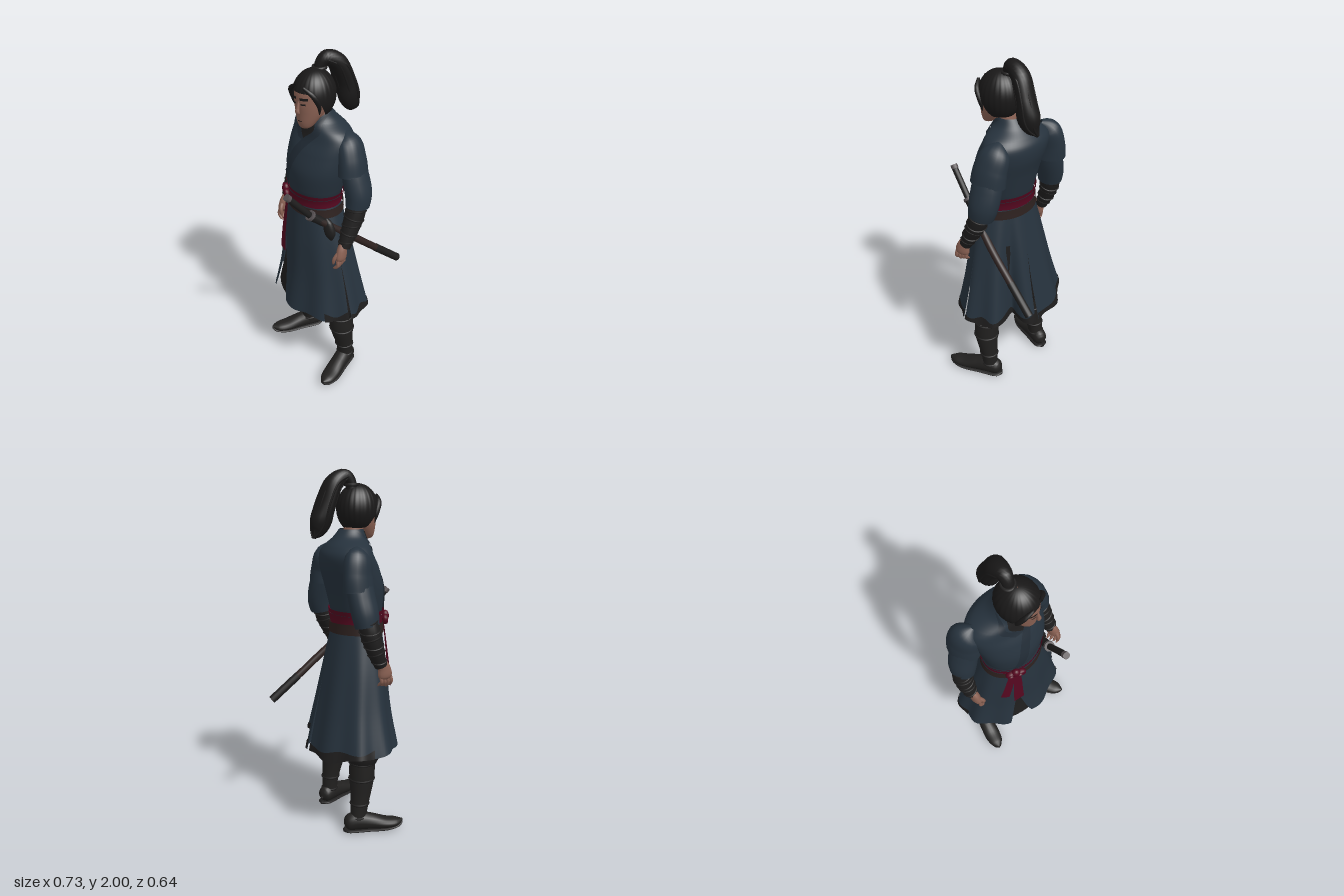
import * as THREE from 'three';
import { ParametricGeometry } from 'three/addons/geometries/ParametricGeometry.js';

const mat = (name, color) => Object.assign(new THREE.MeshStandardMaterial({ color, side: THREE.DoubleSide }), { name });
const M = {
  blue: mat('blue cloth', 0x26323d), trim: mat('dark blue trim', 0x212b35), black: mat('black cloth', 0x1e1d1d),
  leather: mat('boot leather', 0x21201f), hair: mat('hair', 0x191818), red: mat('sash red', 0x54071f),
  skin: mat('skin', 0x8a6153), brown: mat('brown leather', 0x2d211f), steel: mat('dull steel', 0x565052),
};
const YAW = -0.42, C = Math.cos(YAW), S = Math.sin(YAW), TAU = Math.PI * 2;
const { lerp, smoothstep } = THREE.MathUtils;

// Smooth interpolation through rows of equally many numbers
function spline(rows, t) {
  const n = rows.length, k = THREE.MathUtils.clamp(t, 0, 1) * (n - 1), i = Math.min(Math.floor(k), n - 2), f = k - i;
  const [a, b, c, d] = [-1, 0, 1, 2].map(o => rows[Math.min(Math.max(i + o, 0), n - 1)]);
  return b.map((q, j) => q + 0.5 * f * (c[j] - a[j] + f * (2 * a[j] - 5 * q + 4 * c[j] - d[j] + f * (3 * (q - c[j]) + d[j] - a[j]))));
}
function add(parent, name, geometry, material) {
  const m = new THREE.Mesh(geometry, material);
  m.name = name;
  parent.add(m);
  return m;
}
function sheet(parent, name, material, f, nu = 24, nv = 16) {
  return add(parent, name, new ParametricGeometry((u, v, out) => out.copy(f(u, v)), nu, nv), material);
}
// Body surface from elliptical rows [y, cx, cz, halfWidth, halfDepth]; angle 0 is the front
const surface = (rows, yaw = true, shape = () => 1, drop = () => 0) => (ang, t, off = 0) => {
  const [y, cx, cz, a, b] = spline(rows, t), k = shape(ang, t), h = y - drop(ang, t);
  const lx = Math.sin(ang) * (a * k + off), lz = Math.cos(ang) * (b * k + off);
  return yaw ? new THREE.Vector3(cx + lx * C + lz * S, h, cz - lx * S + lz * C) : new THREE.Vector3(cx + lx, h, cz + lz);
};
const patch = (parent, name, material, surf, a0, a1, t0, t1, off, nu = 40, nv = 6) =>
  sheet(parent, name, material, (u, v) => surf(lerp(a0, a1, u), lerp(t0, t1, v), off), nu, nv);
const ribbon = (parent, name, material, surf, path, w, off) =>
  sheet(parent, name, material, (u, v) => { const [a, t] = spline(path, v); return surf(a + (u - 0.5) * w, t, off); }, 4, 24);

// Tapering tube through points [x, y, z, widthRadius, depthRadius]; depth defaults to width
function tube(parent, name, material, points, nu = 18, nv = 28) {
  const X = new THREE.Vector3(1, 0, 0), rows = points.map(([x, y, z, r, q = r]) => [x, y, z, r, q]);
  return sheet(parent, name, material, (u, v) => {
    const [x, y, z, r, q] = spline(rows, v), a = spline(rows, v - 0.01), b = spline(rows, v + 0.01);
    const t = new THREE.Vector3(b[0] - a[0], b[1] - a[1], b[2] - a[2]).normalize();
    const s = t.clone().cross(X).normalize(), n = s.clone().cross(t);
    return new THREE.Vector3(x, y, z).addScaledVector(n, Math.cos(u * TAU) * Math.max(r, 0.001))
      .addScaledVector(s, Math.sin(u * TAU) * Math.max(q, 0.001));
  }, nu, nv);
}
function rod(parent, name, material, a, b, r) {
  const p = new THREE.Vector3(...a), d = new THREE.Vector3(...b).sub(p);
  const m = add(parent, name, new THREE.CylinderGeometry(r, r, d.length(), 14), material);
  m.position.copy(p).addScaledVector(d, 0.5);
  m.quaternion.setFromUnitVectors(new THREE.Vector3(0, 1, 0), d.normalize());
}
function group(parent, name, x, y, z, ry = 0) {
  const g = new THREE.Group();
  g.name = name; g.position.set(x, y, z); g.rotation.y = ry;
  parent.add(g);
  return g;
}

function buildTorso(g) {
  const torso = surface([[1.12, -0.038, 0, 0.17, 0.13], [1.2, -0.038, 0, 0.163, 0.128], [1.27, -0.035, 0, 0.178, 0.142],
    [1.38, -0.028, -0.01, 0.2, 0.155], [1.48, -0.022, -0.04, 0.212, 0.152], [1.55, -0.02, -0.06, 0.212, 0.134],
    [1.595, -0.02, -0.055, 0.178, 0.115], [1.64, -0.02, -0.035, 0.095, 0.09], [1.685, -0.02, -0.02, 0.062, 0.066]]);
  patch(g, 'jacket', M.blue, torso, 0, TAU, 0, 1, 0, 48, 40);
  // Crossed collar over a dark undershirt
  const L = [[-0.8, 0.96], [-0.3, 0.78], [0.08, 0.6]], R = [[0.8, 0.96], [0.45, 0.78], [0.14, 0.6]];
  sheet(g, 'undershirt', M.black, (u, v) => {
    const a = spline(L, v), b = spline(R, v);
    return torso(lerp(a[0], b[0], u), lerp(a[1], b[1], u), 0.004);
  });
  ribbon(g, 'innerCollar', M.trim, torso, [[-1.6, 0.98], [-1, 0.9], [-0.45, 0.76], [0, 0.6]], 0.26, 0.006);
  ribbon(g, 'outerCollar', M.trim, torso, [[1.6, 0.98], [1, 0.9], [0.55, 0.76], [0.2, 0.6], [-0.15, 0.4], [-0.4, 0.22]], 0.28, 0.008);
  // Sash, with folds, and belt
  for (let i = 0; i < 3; i++) patch(g, 'sash', M.red, torso, 0, TAU, 0.09 + i * 0.045, 0.135 + i * 0.045, 0.011 + (i % 2) * 0.004, 48, 2);
  sheet(g, 'belt', M.brown, (u, v) => torso(u * TAU, 0.01 + 0.085 * v - 0.012 * Math.sin(u * TAU), 0.017), 48, 3);
}

function buildSkirt(g) {
  const rows = [[1.18, -0.038, 0, 0.166, 0.13], [0.95, -0.03, -0.01, 0.228, 0.168], [0.7, -0.022, -0.025, 0.285, 0.205], [0.485, -0.022, -0.035, 0.34, 0.248]];
  const skirt = surface(rows, true, (a, t) => 1 + t * (0.035 * Math.sin(a * 9) - 0.4 * Math.exp(-(((a - 2.62) / 0.2) ** 2))),
    (a, t) => t ** 3 * (0.04 * smoothstep(a, 2.2, 3.2) * (1 - smoothstep(a, 3.6, 4.6)) + 0.007 * Math.sin(a * 7)));
  // Panels [name, top edges, bottom edges, hem start, hem end], parted by slits
  [['frontSkirtPanel', -0.35, 1.5, -0.02, 1.47, 0.65, 1], ['backLeftSkirtPanel', 1.5, 3.1, 1.54, 3.06, 0, 1],
    ['rightSkirtPanel', 3.1, TAU - 0.35, 3.14, TAU - 0.48, 0, 0.6]].forEach(([name, a0, a1, b0, b1, h0, h1]) => {
    const edge = (u, v) => { const k = Math.max(0, (v - 0.42) / 0.58); return lerp(lerp(a0, b0, k), lerp(a1, b1, k), u); };
    sheet(g, name, M.blue, (u, v) => skirt(edge(u, v), v), 44, 24);
    // Worn dark hem
    sheet(g, 'hem', M.black, (u, v) => {
      const w = lerp(h0, h1, u), t = lerp(0.92 + 0.025 * Math.sin(w * 17), 1, v);
      return skirt(edge(w, t), t, 0.004);
    }, 40, 3);
  });
  patch(g, 'innerApron', M.black, surface(rows), -0.85, 0.25, 0.25, 0.97, -0.022, 16, 12);
  // Bow and hanging tails of the sash
  const p = skirt(-0.45, 0, 0.025), knot = group(g, 'sashKnot', p.x, 1.21, p.z, YAW - 0.4);
  add(knot, 'knot', new THREE.SphereGeometry(0.027, 14, 10), M.red).scale.set(0.9, 1.2, 0.8);
  for (const s of [-1, 1]) {
    const loop = add(knot, 'bowLoop', new THREE.TorusGeometry(0.024, 0.012, 8, 18), M.red);
    loop.position.set(s * 0.026, -0.014, 0); loop.scale.set(0.9, 0.8, 1.2); loop.rotation.z = s * 0.5;
  }
  ribbon(g, 'longSashTail', M.red, skirt, [[-0.42, 0.02], [-0.37, 0.2], [-0.35, 0.36], [-0.32, 0.52]], 0.24, 0.017);
  ribbon(g, 'shortSashTail', M.red, skirt, [[-0.5, 0.02], [-0.58, 0.18], [-0.68, 0.42]], 0.22, 0.012);
}

function buildArm(g, side, cap, sleeve, fore, hand) {
  tube(g, side + 'ShoulderCap', M.blue, cap);
  tube(g, side + 'Sleeve', M.blue, sleeve);
  tube(g, side + 'Bracer', M.black, fore);
  for (let i = 0; i < 6; i++) { // Wrapped bands
    const [x, y, z, r] = spline(fore, 0.12 + i * 0.15);
    const band = add(g, 'bracerWrap', new THREE.TorusGeometry(r, 0.005, 6, 20), M.black);
    band.position.set(x, y, z); band.rotation.set(Math.PI / 2 - 0.3, (i % 2 - 0.5) * 0.3, 0);
  }
  const h = group(g, side + 'Hand', ...hand), s = Math.sign(hand[0]);
  tube(h, 'palm', M.skin, [[0, 0.06, -0.02, 0.022, 0.026], [0, 0.02, 0, 0.025, 0.036], [0, -0.025, 0.008, 0.023, 0.04], [-s * 0.005, -0.045, 0.01, 0.004, 0.01]], 14, 14);
  for (let i = 0; i < 4; i++) {
    const z = -0.02 + i * 0.02;
    tube(h, 'finger', M.skin, [[0, -0.025, z, 0.01], [s * 0.004, -0.055, z + 0.004, 0.01], [-s * 0.014, -0.082 + 0.006 * Math.abs(i - 2), z + 0.004, 0.009], [-s * 0.03, -0.085, z, 0.002]], 8, 10);
  }
  tube(h, 'thumb', M.skin, [[-s * 0.005, 0.015, 0.025, 0.012], [-s * 0.018, -0.015, 0.045, 0.011], [-s * 0.024, -0.045, 0.047, 0.008], [-s * 0.024, -0.055, 0.045, 0.002]], 8, 10);
}

function buildLeg(g, side, trouser, boot, foot) {
  tube(g, side + 'Trouser', M.black, trouser, 22);
  tube(g, side + 'Boot', M.leather, boot, 20);
  for (const t of [0.02, 0.25, 0.6, 0.85]) {
    const [x, y, z, r] = spline(boot, t);
    const strap = add(g, 'bootStrap', new THREE.TorusGeometry(r, 0.006, 6, 24), M.black);
    strap.position.set(x, y, z); strap.rotation.x = Math.PI / 2;
  }
  const f = group(g, side + 'Foot', ...foot);
  tube(f, 'shoe', M.leather, [[0, 0.045, -0.075, 0.008], [0, 0.05, -0.055, 0.04, 0.042], [0, 0.062, 0, 0.048, 0.055], [0, 0.052, 0.08, 0.048, 0.045], [0, 0.038, 0.16, 0.05, 0.032], [0, 0.036, 0.225, 0.04, 0.024], [0, 0.045, 0.265, 0.006]]);
  tube(f, 'sole', M.black, [[0, 0.01, -0.08, 0.01, 0.008], [0, 0.01, -0.05, 0.043, 0.01], [0, 0.01, 0.06, 0.047, 0.01], [0, 0.01, 0.17, 0.05, 0.01], [0, 0.018, 0.24, 0.03, 0.01], [0, 0.035, 0.265, 0.005, 0.004]]);
}

function buildHead(g) {
  tube(g, 'neck', M.skin, [[-0.018, 1.58, -0.03, 0.055], [-0.02, 1.65, -0.01, 0.054], [-0.02, 1.73, 0.015, 0.056]]);
  const h = group(g, 'head', -0.022, 1.77, 0.035, -0.15);
  const face = surface([[-0.145, 0, 0.065, 0.004, 0.004], [-0.137, 0, 0.06, 0.032, 0.028], [-0.11, 0, 0.046, 0.052, 0.052], [-0.06, 0, 0.022, 0.072, 0.081],
    [0, 0, 0.012, 0.08, 0.097], [0.06, 0, 0.005, 0.084, 0.1], [0.1, 0, 0, 0.07, 0.08], [0.12, 0, 0, 0.02, 0.02]], false);
  patch(h, 'face', M.skin, face, 0, TAU, 0, 1, 0, 36, 28);
  tube(h, 'nose', M.skin, [[0, 0.015, 0.104, 0.006], [0, -0.02, 0.113, 0.009], [0, -0.043, 0.116, 0.013, 0.01], [0, -0.055, 0.1, 0.004]], 10, 12);
  patch(h, 'mouth', M.brown, face, -0.22, 0.22, 0.325, 0.34, 0.002, 8, 2);
  for (const s of [-1, 1]) {
    patch(h, 'eye', M.hair, face, s * 0.2, s * 0.5, 0.565, 0.585, 0.003, 6, 2);
    patch(h, 'eyebrow', M.hair, face, s * 0.14, s * 0.62, 0.625, 0.655, 0.004, 6, 2);
    const ear = add(h, 'ear', new THREE.SphereGeometry(0.028, 12, 10), M.skin);
    ear.position.set(s * 0.085, -0.015, 0.005); ear.scale.set(0.4, 1.1, 0.7);
    tube(h, 'sideLock', M.hair, [[s * 0.03, 0.09, 0.103, 0.008], [s * 0.075, 0.055, 0.083, 0.014], [s * 0.09, 0, 0.055, 0.013], [s * 0.084, -0.055, 0.045, 0.002]], 8, 12);
  }
  // Swept-back hair with a low nape
  sheet(h, 'hairCap', M.hair, (u, v) => {
    const a = u * TAU, phi = lerp(0.02, 2.4 - 1.12 * smoothstep(Math.cos(a), -0.1, 0.85), v);
    const r = 1 + 0.008 * Math.sin(a * 24) * Math.sin(phi);
    return new THREE.Vector3(Math.sin(phi) * Math.sin(a) * 0.108 * r, 0.02 + 0.133 * Math.cos(phi), -0.007 + Math.sin(phi) * Math.cos(a) * 0.118 * r);
  }, 72, 20);
  const tail = [[-0.02, 1.87, -0.02, 0.03], [-0.018, 1.925, -0.02, 0.03], [0.002, 1.958, -0.05, 0.04], [0.03, 1.92, -0.105, 0.055, 0.048], [0.052, 1.82, -0.143, 0.062, 0.048],
    [0.066, 1.735, -0.163, 0.058, 0.06], [0.07, 1.68, -0.185, 0.04, 0.045], [0.07, 1.642, -0.215, 0.006]];
  tube(g, 'ponytail', M.hair, tail, 22, 40);
  for (let i = 0; i < 7; i++) { // Loose strands along the ponytail
    const a = i * 0.9;
    tube(g, 'strand', M.hair, tail.slice(2).map(([x, y, z, r]) => [x + Math.cos(a) * r, y, z + Math.sin(a) * r * 0.75, 0.006]), 6, 24);
  }
  const tie = add(g, 'hairTie', new THREE.TorusGeometry(0.032, 0.009, 8, 20), M.black);
  tie.position.set(-0.02, 1.915, -0.018); tie.rotation.x = Math.PI / 2;
}

function buildSword(g) {
  const s = group(g, 'sword', 0, 0, 0);
  const p = [[-0.002, 1.31, 0.3], [0.06, 1.16, 0.185], [0.19, 0.98, 0.0], [0.272, 0.83, -0.16], [0.335, 0.715, -0.285], [0.345, 0.698, -0.303]];
  rod(s, 'pommel', M.steel, [-0.008, 1.32, 0.307], [0, 1.302, 0.293], 0.02);
  rod(s, 'grip', M.black, p[0], p[1], 0.018);
  rod(s, 'guard', M.steel, [0.056, 1.168, 0.19], [0.062, 1.157, 0.181], 0.03);
  add(s, 'scabbard', new THREE.TubeGeometry(new THREE.CatmullRomCurve3(p.slice(1, 5).map(q => new THREE.Vector3(...q))), 24, 0.021, 14), M.brown);
  rod(s, 'scabbardThroat', M.black, p[1], [0.1, 1.1, 0.122], 0.024);
  rod(s, 'scabbardTip', M.black, p[3], p[5], 0.023);
  rod(s, 'hangingCord', M.black, [0.13, 1.05, 0.075], [0.1, 1.15, 0.09], 0.01);
  tube(s, 'pouch', M.black, [[0.11, 1.12, 0.11, 0.008], [0.12, 1.09, 0.11, 0.03, 0.022], [0.135, 1.03, 0.11, 0.034, 0.024], [0.145, 0.99, 0.11, 0.006]], 12, 12);
}

export function createModel() {
  const g = new THREE.Group();
  g.name = 'swordsman';
  buildTorso(g);
  buildSkirt(g);
  buildArm(g, 'left',
    [[0.11, 1.595, -0.035, 0.015], [0.155, 1.54, -0.025, 0.062, 0.078], [0.19, 1.46, -0.008, 0.068, 0.093], [0.203, 1.385, 0.0, 0.074, 0.098]],
    [[0.19, 1.45, -0.005, 0.06, 0.08], [0.225, 1.35, 0, 0.066, 0.085], [0.247, 1.27, 0.008, 0.068, 0.082], [0.25, 1.205, 0.022, 0.062, 0.072]],
    [[0.25, 1.25, 0.02, 0.05], [0.248, 1.17, 0.04, 0.055], [0.242, 1.08, 0.08, 0.047], [0.235, 0.99, 0.125, 0.034]], [0.232, 0.955, 0.14]);
  buildArm(g, 'right',
    [[-0.165, 1.6, -0.14, 0.015], [-0.197, 1.55, -0.165, 0.06, 0.078], [-0.212, 1.46, -0.178, 0.065, 0.092], [-0.218, 1.385, -0.178, 0.07, 0.094]],
    [[-0.21, 1.45, -0.17, 0.06, 0.078], [-0.236, 1.35, -0.175, 0.066, 0.08], [-0.26, 1.27, -0.175, 0.067, 0.078], [-0.273, 1.205, -0.172, 0.061, 0.07]],
    [[-0.275, 1.25, -0.175, 0.05], [-0.29, 1.17, -0.167, 0.055], [-0.305, 1.08, -0.145, 0.047], [-0.315, 0.99, -0.11, 0.034]], [-0.32, 0.955, -0.09, -0.3]);
  buildLeg(g, 'left',
    [[0.06, 0.95, 0.0, 0.1], [0.1, 0.7, 0.02, 0.115], [0.13, 0.5, 0.03, 0.108], [0.14, 0.44, 0.035, 0.102], [0.165, 0.38, 0.035, 0.065]],
    [[0.168, 0.41, 0.035, 0.073], [0.176, 0.31, 0.035, 0.07], [0.184, 0.2, 0.02, 0.055], [0.186, 0.12, 0.01, 0.047], [0.186, 0.05, 0.01, 0.047]], [0.186, 0, 0.01, 0.06]);
  buildLeg(g, 'right',
    [[-0.1, 0.95, -0.05, 0.1], [-0.14, 0.7, -0.07, 0.11], [-0.175, 0.5, -0.09, 0.1], [-0.18, 0.44, -0.1, 0.095], [-0.182, 0.38, -0.105, 0.065]],
    [[-0.182, 0.41, -0.105, 0.073], [-0.184, 0.31, -0.112, 0.07], [-0.188, 0.2, -0.128, 0.055], [-0.19, 0.12, -0.142, 0.047], [-0.19, 0.05, -0.15, 0.047]], [-0.19, 0, -0.155, -0.65]);
  buildHead(g);
  buildSword(g);
  return g;
}
